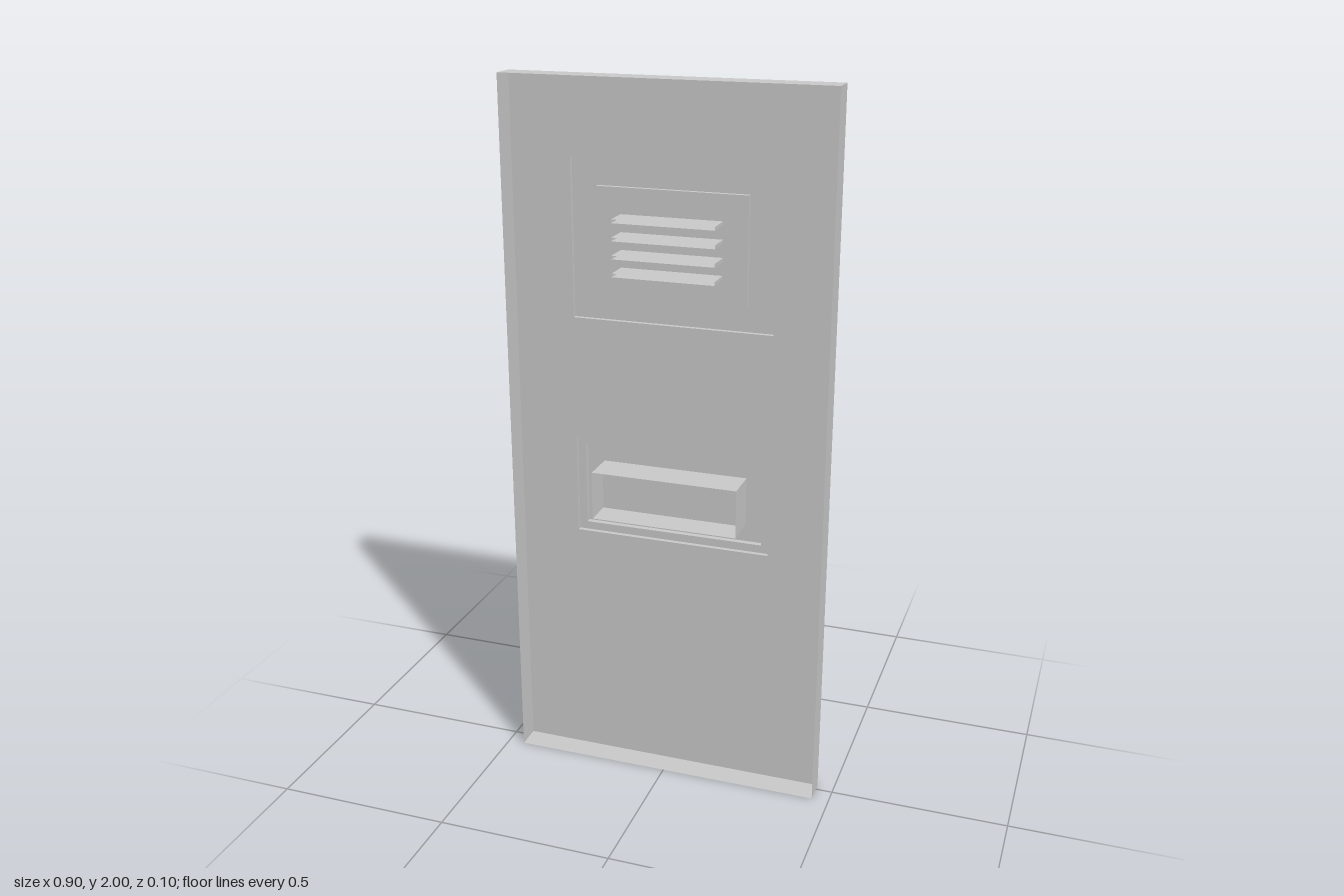
import * as THREE from 'three';

const material = new THREE.MeshStandardMaterial({ color: 0xcccccc, side: THREE.DoubleSide, flatShading: true });

// Rectangles are { w: half width, y0: bottom, y1: top }, centred on x = 0
const rect = (w, y0, y1) => ({ w, y0, y1 });

function corners({ w, y0, y1 }) {
  return [[-w, y0], [w, y0], [w, y1], [-w, y1]].map(([x, y]) => new THREE.Vector2(x, y));
}

// Flat sheet at depth z with rectangular openings
function sheet(name, outer, holes, z) {
  const shape = new THREE.Shape(corners(outer));
  for (const h of holes) shape.holes.push(new THREE.Path(corners(h).reverse()));
  const mesh = new THREE.Mesh(new THREE.ShapeGeometry(shape), material);
  mesh.position.z = z;
  mesh.name = name;
  return mesh;
}

// Four thin walls around a rectangle, running from depth z0 to z1
function walls(name, { w, y0, y1 }, z0, z1) {
  const group = new THREE.Group();
  group.name = name;
  const depth = z1 - z0, z = (z0 + z1) / 2;
  for (const s of [-1, 1]) {
    const side = new THREE.Mesh(new THREE.PlaneGeometry(depth, y1 - y0), material);
    side.rotation.y = s * Math.PI / 2;
    side.position.set(s * w, (y0 + y1) / 2, z);
    const level = new THREE.Mesh(new THREE.PlaneGeometry(2 * w, depth), material);
    level.rotation.x = -s * Math.PI / 2;
    level.position.set(0, s > 0 ? y1 : y0, z);
    side.name = name + 'Side';
    level.name = name + 'Level';
    group.add(side, level);
  }
  return group;
}

export function createModel() {
  const model = new THREE.Group();
  model.name = 'lockerDoor';
  const front = 0.05, skin = -0.021, raised = -0.034, back = -0.05;

  const door = rect(0.452, 0, 2);
  const ventFrame = rect(0.283, 1.345, 1.78);
  const ventField = rect(0.21, 1.418, 1.71);
  const handleFrame = rect(0.283, 0.71, 0.995);
  const handleStep = rect(0.26, 0.733, 0.97);
  const handlePocket = rect(0.21, 0.783, 0.922);

  // Door pan: skin with folded edges toward the front
  model.add(
    sheet('doorSkin', door, [ventFrame, handleFrame], skin),
    walls('doorFlange', door, skin, front),
  );

  // Vent: embossed frame around a recessed field with hollow louvres
  const slots = [1.49, 1.538, 1.586, 1.634].map((y) => rect(0.142, y - 0.005, y + 0.005));
  model.add(
    walls('ventFrameEdge', ventFrame, raised, skin),
    sheet('ventFrame', ventFrame, [ventField], raised),
    walls('ventFieldEdge', ventField, raised, skin),
    sheet('ventField', ventField, slots, skin),
    ...slots.map((s) => walls('louvre', s, skin, front)),
  );

  // Handle: two embossed steps and a box that opens to the front
  model.add(
    walls('handleFrameEdge', handleFrame, raised, skin),
    sheet('handleFrame', handleFrame, [handleStep], raised),
    walls('handleStepEdge', handleStep, back, raised),
    sheet('handleStep', handleStep, [handlePocket], back),
    walls('handleBox', handlePocket, back, front),
    sheet('handleBoxBack', handlePocket, [], raised),
  );
  return model;
}
